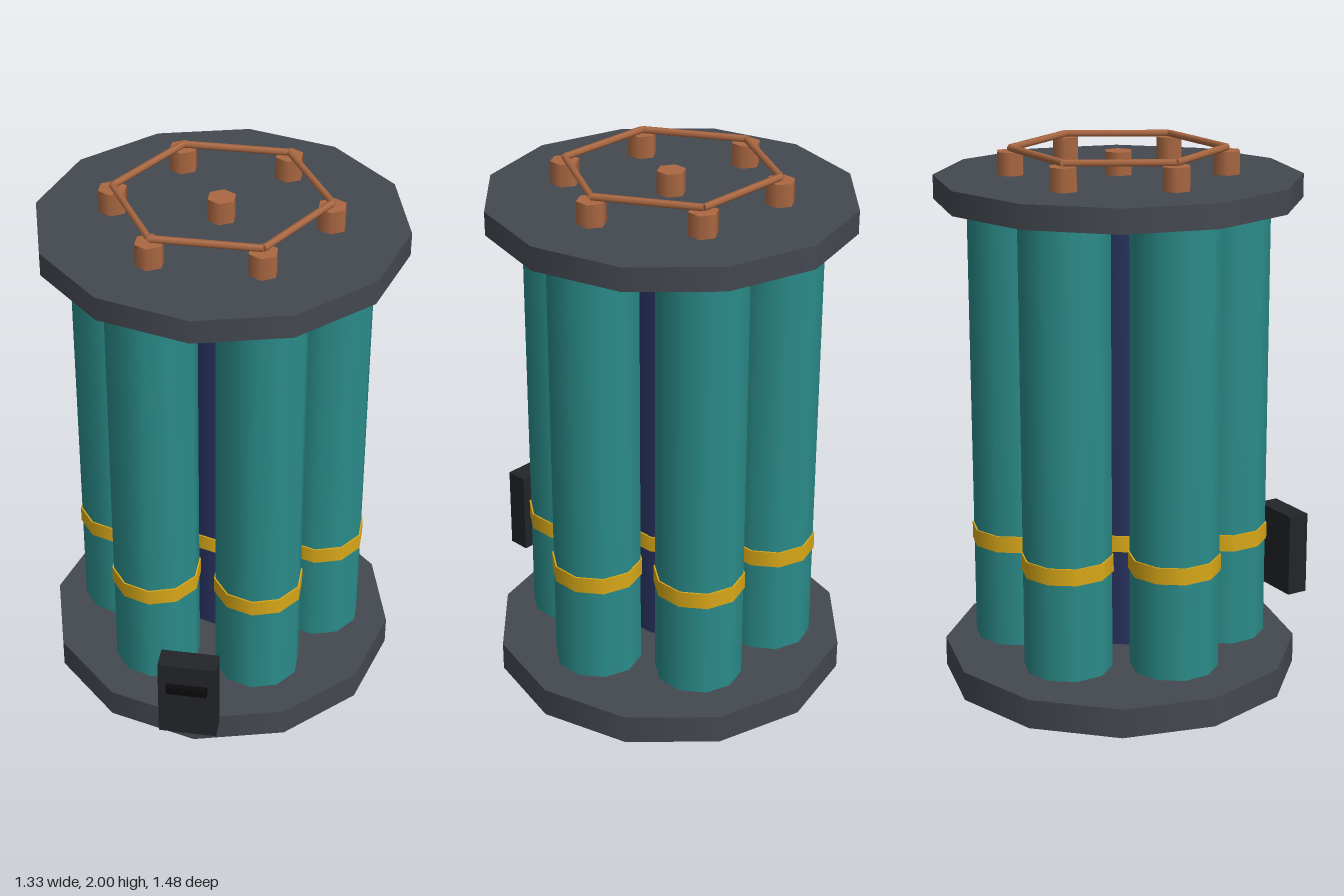
import * as THREE from 'three';

const mat = (color) => new THREE.MeshStandardMaterial({ color });

export function createModel() {
  const model = new THREE.Group();
  const plateMat = mat(0x444850), teal = mat(0x2a8c8a), navy = mat(0x26305c);
  const gold = mat(0xd9a818), copper = mat(0xab6842);
  const caseMat = mat(0x222428), displayMat = mat(0x0a0a0a);

  const add = (parent, name, geometry, material, x, y, z) => {
    const mesh = new THREE.Mesh(geometry, material);
    mesh.name = name;
    mesh.position.set(x, y, z);
    parent.add(mesh);
    return mesh;
  };
  // upright cylinder between two heights
  const post = (parent, name, r, y0, y1, sides, material, x, z) =>
    add(parent, name, new THREE.CylinderGeometry(r, r, y1 - y0, sides), material, x, (y0 + y1) / 2, z);

  // the pack sits slightly behind the origin, the control box in front of it
  const pack = new THREE.Group();
  pack.name = 'cellPack';
  pack.position.z = -0.077;
  model.add(pack);

  // twelve-sided end plates
  post(pack, 'bottomPlate', 0.664, 0, 0.11, 12, plateMat, 0, 0);
  post(pack, 'topPlate', 0.664, 1.805, 1.892, 12, plateMat, 0, 0);

  // one cell with its band and terminal
  const cell = (name, material, x, z) => {
    const group = new THREE.Group();
    group.name = name;
    group.position.set(x, 0, z);
    post(group, 'cellBody', 0.162, 0.14, 1.803, 10, material, 0, 0);
    post(group, 'cellBand', 0.168, 0.51, 0.572, 10, gold, 0, 0);
    post(group, 'terminal', 0.053, 1.892, 1.976, 6, copper, 0, 0);
    pack.add(group);
  };
  cell('centerCell', navy, 0, 0);

  // ring of six cells, with a bus bar from each terminal to the next
  const ring = 0.386;
  const ringPoint = (i, y) =>
    new THREE.Vector3(ring * Math.cos(i * Math.PI / 3), y, ring * Math.sin(i * Math.PI / 3));
  const up = new THREE.Vector3(0, 1, 0);
  for (let i = 0; i < 6; i++) {
    const p = ringPoint(i, 0);
    cell('ringCell', teal, p.x, p.z);
    const a = ringPoint(i, 1.987), b = ringPoint(i + 1, 1.987);
    const mid = a.clone().add(b).multiplyScalar(0.5);
    const bar = add(pack, 'busBar', new THREE.CylinderGeometry(0.013, 0.013, a.distanceTo(b), 6),
      copper, mid.x, mid.y, mid.z);
    bar.quaternion.setFromUnitVectors(up, b.sub(a).normalize());
  }

  // control box with a narrow display
  add(model, 'controlBox', new THREE.BoxGeometry(0.214, 0.325, 0.084), caseMat, 0, 0.327, 0.678);
  add(model, 'display', new THREE.BoxGeometry(0.15, 0.032, 0.03), displayMat, 0, 0.389, 0.727);

  return model;
}
